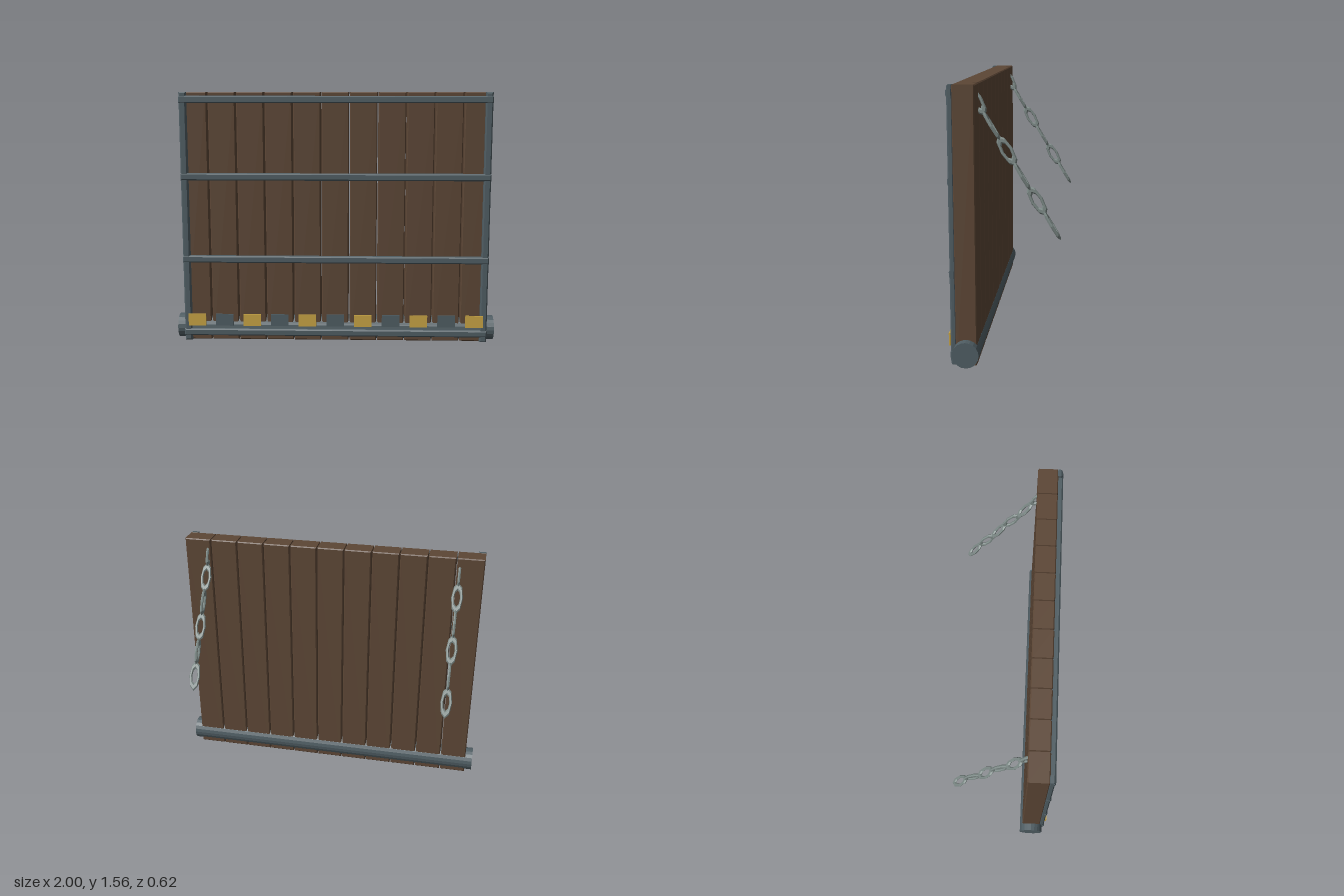
import * as THREE from 'three';

const mat = (color) => new THREE.MeshStandardMaterial({ color, flatShading: true });

// Box with chamfered edges, centred on the origin
function chamferBox(w, h, d, b) {
  const s = new THREE.Shape();
  const x = w / 2 - b, y = h / 2 - b;
  s.moveTo(-x, -y);
  s.lineTo(x, -y);
  s.lineTo(x, y);
  s.lineTo(-x, y);
  s.closePath();
  const g = new THREE.ExtrudeGeometry(s, {
    depth: d - 2 * b, bevelEnabled: true, bevelSegments: 1, bevelSize: b, bevelThickness: b,
  });
  return g.translate(0, 0, -d / 2 + b);
}

export function createModel() {
  const wood = mat(0x5c4635), steel = mat(0x4f5d63), chainMat = mat(0x7d8a87), gold = mat(0xc8a444);
  const model = new THREE.Group();
  model.name = 'drawbridge';

  const add = (parent, name, geometry, material, x, y, z) => {
    const mesh = new THREE.Mesh(geometry, material);
    mesh.name = name;
    mesh.position.set(x, y, z);
    parent.add(mesh);
    return mesh;
  };

  // Planks and the row of alternating plates share one spacing
  const count = 11, pitch = 0.174;
  const plankGeo = chamferBox(0.167, 1.56, 0.122, 0.006);
  const plateGeo = new THREE.BoxGeometry(0.11, 0.075, 0.01);
  for (let i = 0; i < count; i++) {
    const x = (i - (count - 1) / 2) * pitch;
    add(model, 'plank', plankGeo, wood, x, 0.782, 0.204);
    add(model, i % 2 ? 'steelPlate' : 'goldPlate', plateGeo, i % 2 ? steel : gold, x, 0.14, 0.302);
  }

  // Metal frame on the front
  const postGeo = chamferBox(0.044, 1.56, 0.034, 0.008);
  for (const side of [-1, 1]) add(model, 'framePost', postGeo, steel, side * 0.93, 0.782, 0.275);
  const railGeo = chamferBox(1.908, 0.044, 0.036, 0.008);
  for (const y of [0.056, 0.527, 1.045, 1.517]) add(model, 'frameRail', railGeo, steel, 0, y, 0.278);

  // Hinge axle along the foot
  const axleGeo = new THREE.CylinderGeometry(0.075, 0.075, 2, 20).rotateZ(Math.PI / 2);
  add(model, 'hingeAxle', axleGeo, steel, 0, 0.077, 0.203);

  // Chains hanging off the back, links turned a quarter each time
  const linkGeo = new THREE.TorusGeometry(0.027, 0.009, 6, 8).scale(1, 2.7, 1);
  const slope = Math.atan2(0.518, 0.855);
  for (const side of [-1, 1]) {
    const chain = new THREE.Group();
    chain.name = side > 0 ? 'leftChain' : 'rightChain';
    chain.position.set(side * 0.805, 1.467, 0.155);
    chain.rotation.x = slope;
    for (let i = 0; i < 6; i++) {
      const link = add(chain, 'chainLink', linkGeo, chainMat, 0, -0.16 * i, 0);
      link.rotation.y = i % 2 ? 0 : Math.PI / 2;
    }
    model.add(chain);
  }
  return model;
}
